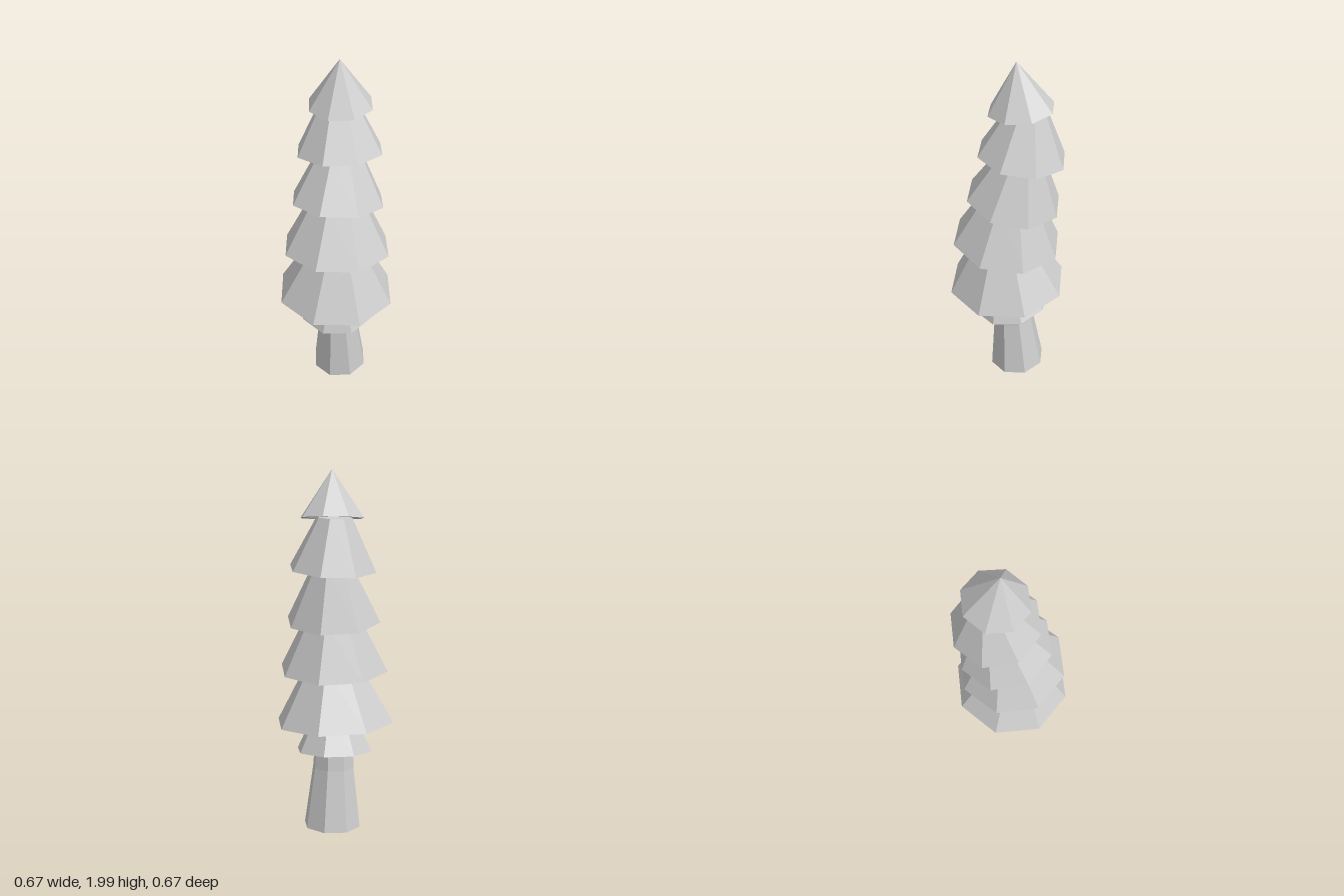
import * as THREE from 'three';

const SIDES = 8;

export function createModel() {
  const tree = new THREE.Group();
  tree.name = 'pineTree';
  const material = new THREE.MeshStandardMaterial({ color: 0xcccccc, flatShading: true });

  // Eight-sided turned part, leaning by small angles about x and z
  function addTurned(name, profile, position, leanX, leanZ) {
    const points = profile.map(([r, y]) => new THREE.Vector2(r, y));
    const mesh = new THREE.Mesh(new THREE.LatheGeometry(points, SIDES), material);
    mesh.name = name;
    mesh.position.set(...position);
    mesh.rotation.set(leanX, 0, leanZ);
    tree.add(mesh);
  }

  // Trunk, flared at the foot and hidden at the top by the branches
  addTurned('trunk',
    [[0, 0], [0.162, 0], [0.118, 0.34], [0.105, 0.6], [0.085, 0.92], [0, 0.92]],
    [-0.002, 0.018, -0.066], 0.08, 0);

  // Branch tiers, bottom to top: rim radius, top radius, height, rim centre, leans
  const tiers = [
    [0.216, 0.125, 0.19, [-0.002, 0.45, -0.019], 0.123, -0.037],
    [0.336, 0.15, 0.33, [0, 0.615, 0.003], 0.031, -0.04],
    [0.305, 0.15, 0.3, [0.006, 0.921, 0.003], -0.087, 0.01],
    [0.261, 0.11, 0.3, [-0.003, 1.2, -0.035], -0.155, 0.02],
    [0.238, 0.095, 0.275, [-0.01, 1.482, -0.077], -0.09, 0.065],
    [0.174, 0, 0.253, [-0.004, 1.747, -0.073], 0.1, -0.02],
  ];
  tiers.forEach(([rim, top, height, centre, leanX, leanZ], i) => {
    const wall = 0.036;
    // Hollow skirt: inner wall, flat rim, outer wall, closed top
    const innerTop = Math.max(top - wall, 0);
    const innerHeight = top > 0 ? height - 0.02 : height * (1 - wall / rim);
    const profile = [[0, innerHeight]];
    if (innerTop > 0) profile.push([innerTop, innerHeight]);
    profile.push([rim - wall, 0], [rim, 0], [top, height]);
    if (top > 0) profile.push([0, height]);
    addTurned(`branchTier${i + 1}`, profile, centre, leanX, leanZ);
  });

  return tree;
}
